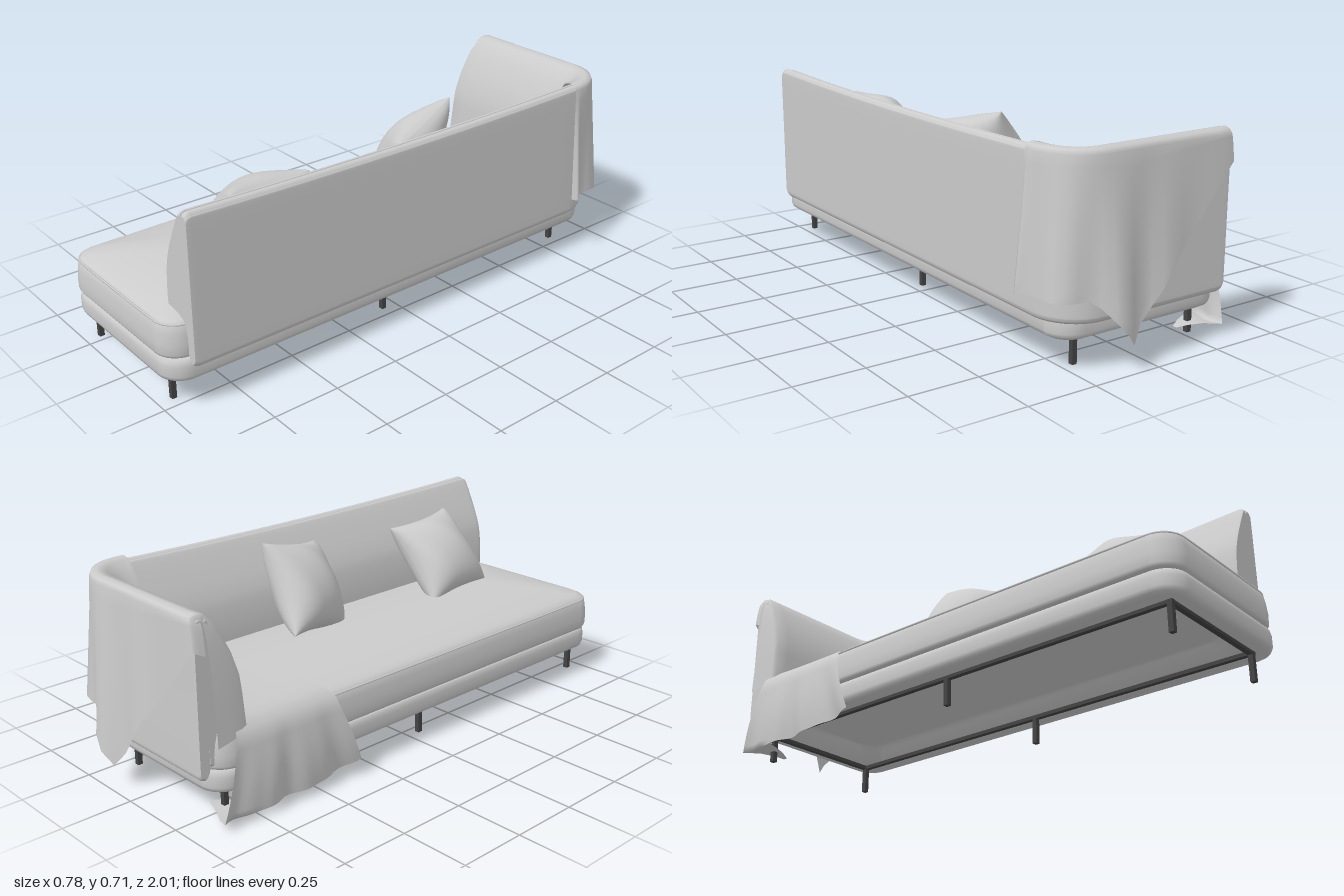
import * as THREE from 'three';

const fabric = new THREE.MeshStandardMaterial({ color: 0xcccccc });
const cloth = new THREE.MeshStandardMaterial({ color: 0xcccccc, side: THREE.DoubleSide });
const metal = new THREE.MeshStandardMaterial({ color: 0x444444 });
const lerp = THREE.MathUtils.lerp;

// surface through rows of [x, y, z] points
function skin(rows) {
  const n = rows[0].length, index = [];
  for (let r = 0; r < rows.length - 1; r++)
    for (let c = 0; c < n - 1; c++) {
      const a = r * n + c, d = a + n;
      index.push(a, a + 1, d + 1, a, d + 1, d);
    }
  const g = new THREE.BufferGeometry();
  g.setAttribute('position', new THREE.Float32BufferAttribute(rows.flat(2), 3));
  g.setIndex(index);
  g.computeVertexNormals();
  return g;
}

function add(parent, name, geometry, material = fabric) {
  const mesh = new THREE.Mesh(geometry, material);
  mesh.name = name;
  parent.add(mesh);
  return mesh;
}

// rounded rectangle loop, drawn in by `inset`, at height y
function loop(box, inset, y) {
  const { x0, x1, z0, z1, r } = box, pts = [];
  const w = (x1 - x0) / 2 - inset, l = (z1 - z0) / 2 - inset;
  const rr = Math.max(r - inset, Math.min(0.06, w));
  for (let q = 0; q < 4; q++)
    for (let i = 0; i <= 8; i++) {
      const a = (q + i / 8) * Math.PI / 2;
      const sx = q === 0 || q === 3 ? 1 : -1, sz = q < 2 ? -1 : 1;
      pts.push([(x0 + x1) / 2 + sx * (w - rr) + rr * Math.cos(a), y, (z0 + z1) / 2 + sz * (l - rr) - rr * Math.sin(a)]);
    }
  pts.push(pts[0].slice());
  return pts;
}
const slab = (box, profile) => skin(profile.map(([d, y]) => loop(box, d, y)));

// L-shaped plan line: short end, round corner, long back
function lPath(zEnd, steps) {
  const p = [], R = 0.16, cx = 0.175, cz = -0.785;
  for (let i = 0; i <= 12; i++) p.push({ x: lerp(-0.3, cx, i / 12), z: cz - R, nx: 0, nz: -1 });
  for (let i = 1; i <= 8; i++) {
    const a = i / 8 * Math.PI / 2, nx = Math.sin(a), nz = -Math.cos(a);
    p.push({ x: cx + R * nx, z: cz + R * nz, nx, nz });
  }
  for (let i = 1; i <= steps; i++) p.push({ x: cx + R, z: lerp(cz, zEnd, i / steps), nx: 1, nz: 0 });
  return p;
}

// sweep a closed [depth, height] profile along the L, sagging slightly midway, with softly rounded ends
function sweep(points, path) {
  const prof = new THREE.SplineCurve(points.map(([d, y]) => new THREE.Vector2(d, y))).getPoints(64);
  const cd = (Math.min(...prof.map(p => p.x)) + Math.max(...prof.map(p => p.x))) / 2;
  const ring = (p, ext, s) => prof.map(q => {
    const d = cd + (q.x - cd) * s, sag = 0.015 * Math.max(0, 1 - (p.z / 0.9) ** 2) * Math.max(0, q.y - 0.2) * 2;
    return [p.x - p.nx * d - p.nz * ext, 0.43 + (q.y - 0.43) * s - sag, p.z - p.nz * d + p.nx * ext];
  });
  const ends = [[0.02, 0], [0.02, 0.95], [0.02, 0.95], [0.014, 0.985]];
  const last = path[path.length - 1];
  return skin([
    ...ends.map(([e, s]) => ring(path[0], -e, s)),
    ...path.map(p => ring(p, 0, 1)),
    ...ends.slice().reverse().map(([e, s]) => ring(last, e, s)),
  ]);
}

// height of the crowned seat at a distance from its edge
const crown = [[0.008, 0.305], [0.018, 0.319], [0.04, 0.33], [0.1, 0.349], [0.18, 0.365], [0.26, 0.376], [0.3275, 0.38]];
function seatY(d) {
  for (let i = 1; i < crown.length; i++)
    if (d <= crown[i][0])
      return lerp(crown[i - 1][1], crown[i][1], Math.max(0, (d - crown[i - 1][0]) / (crown[i][0] - crown[i - 1][0])));
  return 0.38;
}

// plump square cushion with drawn-in sides and pointed corners
function pillow(name, position, rotation, half) {
  const g = new THREE.Group(), N = 24;
  g.name = name;
  for (const s of [1, -1]) {
    const rows = [];
    for (let j = 0; j <= N; j++) {
      const row = [], v = Math.sin((j / N - 0.5) * Math.PI);
      for (let i = 0; i <= N; i++) {
        const u = Math.sin((i / N - 0.5) * Math.PI);
        const t = 0.098 * Math.pow(Math.max(0, (1 - u * u) * (1 - v * v)), 0.45) * (1 + 0.06 * Math.sin(5 * u + 3 * v));
        row.push([-s * t, half * v * (1 - 0.09 * (1 - u * u)), s * half * u * (1 - 0.09 * (1 - v * v))]);
      }
      rows.push(row);
    }
    add(g, s > 0 ? 'pillowFront' : 'pillowBack', skin(rows));
  }
  g.position.set(...position);
  g.rotation.set(...rotation, 'YZX');
  return g;
}

// throw over the short end and round the corner, with a slanting hem
function endThrow() {
  const hem = i => i < 10 ? lerp(0.6, 0.09, i / 10) : i < 14 ? lerp(0.09, 0.27, (i - 10) / 4) : 0.25;
  const section = (p, i, tuck) => {
    const prof = [[0.165, 0.3], [0.16, 0.37], [0.156, 0.43], [0.15, 0.49], [0.125, 0.57], [0.085, 0.652], [0.045, 0.704], [0.015, 0.711], [-0.004, 0.705]];
    const flare = Math.min(1, i / 11);
    for (let k = 0; k <= 12; k++) {
      const y = lerp(0.69, hem(i), k / 12), drop = (0.69 - y) / 0.5;
      prof.push([-0.01 - drop * (0.008 + 0.026 * flare + 0.02 * flare * Math.sin(i * 1.25)), y]);
    }
    return prof.map(([d, y]) => {
      const slant = 0.035 * Math.max(0, 1 - i / 6) * Math.sqrt(Math.max(0, (0.7 - y) / 0.35));
      const dd = lerp(d, 0.03, tuck);
      return [p.x - p.nx * dd - slant - (i === 0 ? 0.006 + 0.014 * Math.sqrt(tuck) : 0), y - 0.02 * tuck, p.z - p.nz * dd];
    });
  };
  const path = lPath(-0.76, 3);
  return skin([...[0.9, 0.5, 0.15].map(t => section(path[0], 0, t)), ...path.map((p, i) => section(p, i, 0))]);
}

// throw lying on the seat and falling over its open side
function seatThrow() {
  const rows = [], N = 30;
  const row = (z0, z1, f) => rows.push(Array.from({ length: N + 1 }, (_, i) => f(i / N, lerp(z0, z1, i / N))));
  const hemY = u => 0.028 + 0.035 * u ** 4;
  const fold = u => 0.009 * Math.sin(u * 17) + 0.004 * Math.sin(u * 31);
  for (let k = 0; k <= 16; k++) {
    const x = lerp(0.2, -0.35, k / 16), z1 = lerp(-0.7, -0.42, k / 16);
    row(-0.83, z1, (u, z) => [x, seatY(Math.min(x + 0.355, 0.3 - x)) + 0.008 + 0.06 * Math.exp(-(z + 0.83) / 0.06) * Math.min(1, (x + 0.36) / 0.3), z]);
  }
  for (let k = 1; k <= 12; k++) {
    const t = k / 12;
    row(lerp(-0.83, -0.9, t), lerp(-0.42, -0.33, t), (u, z) =>
      [-0.36 - 0.018 * Math.sin(t * 2.4) + t * fold(u), lerp(0.3, hemY(u), t), z]);
  }
  // trailing corner near the floor
  for (let k = 1; k <= 5; k++)
    row(-0.9, -0.33, (u, z) => {
      const tuck = k / 5 * Math.exp(-(((u - 0.12) / 0.09) ** 2));
      return [-0.372 + fold(u) + 0.15 * tuck, hemY(u) + 0.012 * Math.sin(tuck * Math.PI), z];
    });
  return skin(rows);
}

export function createModel() {
  const model = new THREE.Group();
  model.name = 'daybed';

  // base with a recess underneath
  add(model, 'base', slab({ x0: -0.35, x1: 0.31, z0: -0.91, z1: 1, r: 0.09 }, [
    [0.33, 0.17], [0.14, 0.17], [0.13, 0.165], [0.12, 0.15], [0.085, 0.112], [0.06, 0.106], [0.02, 0.107], [0.006, 0.115],
    [0, 0.13], [0, 0.165], [0.004, 0.182], [0.012, 0.19], [0.05, 0.192], [0.33, 0.192]]));

  // crowned seat cushion and its piping
  const seat = { x0: -0.355, x1: 0.3, z0: -0.91, z1: 1, r: 0.09 };
  add(model, 'seatCushion', slab(seat, [[0.32, 0.19], [0.02, 0.19], [0.006, 0.194], [0, 0.205], [-0.001, 0.24], [0.003, 0.28], ...crown]));
  const pipe = loop(seat, 0.011, 0.31).slice(0, -1).map(p => new THREE.Vector3(...p));
  add(model, 'seatPiping', new THREE.TubeGeometry(new THREE.CatmullRomCurve3(pipe, true, 'centripetal'), 200, 0.004, 6, true));

  // back and short end: outer shell plus padded inside
  const path = lPath(0.905, 20);
  add(model, 'backShell', sweep([[0.012, 0.167], [0.002, 0.18], [0, 0.22], [0, 0.45], [0, 0.66], [0.004, 0.692], [0.018, 0.703],
    [0.034, 0.69], [0.037, 0.65], [0.038, 0.45], [0.038, 0.22], [0.034, 0.178], [0.022, 0.166], [0.012, 0.167]], path));
  add(model, 'backCushion', sweep([[0.036, 0.21], [0.032, 0.45], [0.032, 0.67], [0.04, 0.697], [0.052, 0.685], [0.085, 0.62],
    [0.118, 0.545], [0.136, 0.48], [0.145, 0.38], [0.14, 0.26], [0.12, 0.2], [0.07, 0.198], [0.036, 0.21]], path));

  // scatter pillows
  model.add(pillow('rearPillow', [0.08, 0.52, -0.17], [0.25, 0.42, -0.5], 0.172));
  model.add(pillow('frontPillow', [0.07, 0.495, 0.525], [-0.06, 0.05, -0.68], 0.168));

  // throw blanket
  add(model, 'throwOverEnd', endThrow(), cloth);
  add(model, 'throwOverSeat', seatThrow(), cloth);

  // metal underframe and legs
  const bar = (name, w, h, d, x, y, z) => add(model, name, new THREE.BoxGeometry(w, h, d), metal).position.set(x, y, z);
  for (const x of [-0.281, 0.203]) {
    bar('frameRail', 0.018, 0.014, 1.79, x, 0.101, 0.055);
    for (const z of [-0.83, 0.055, 0.94]) bar('leg', 0.018, 0.1, 0.018, x, 0.05, z);
  }
  for (const z of [-0.83, 0.94]) bar('frameCrossbar', 0.484, 0.014, 0.018, -0.039, 0.101, z);
  return model;
}
